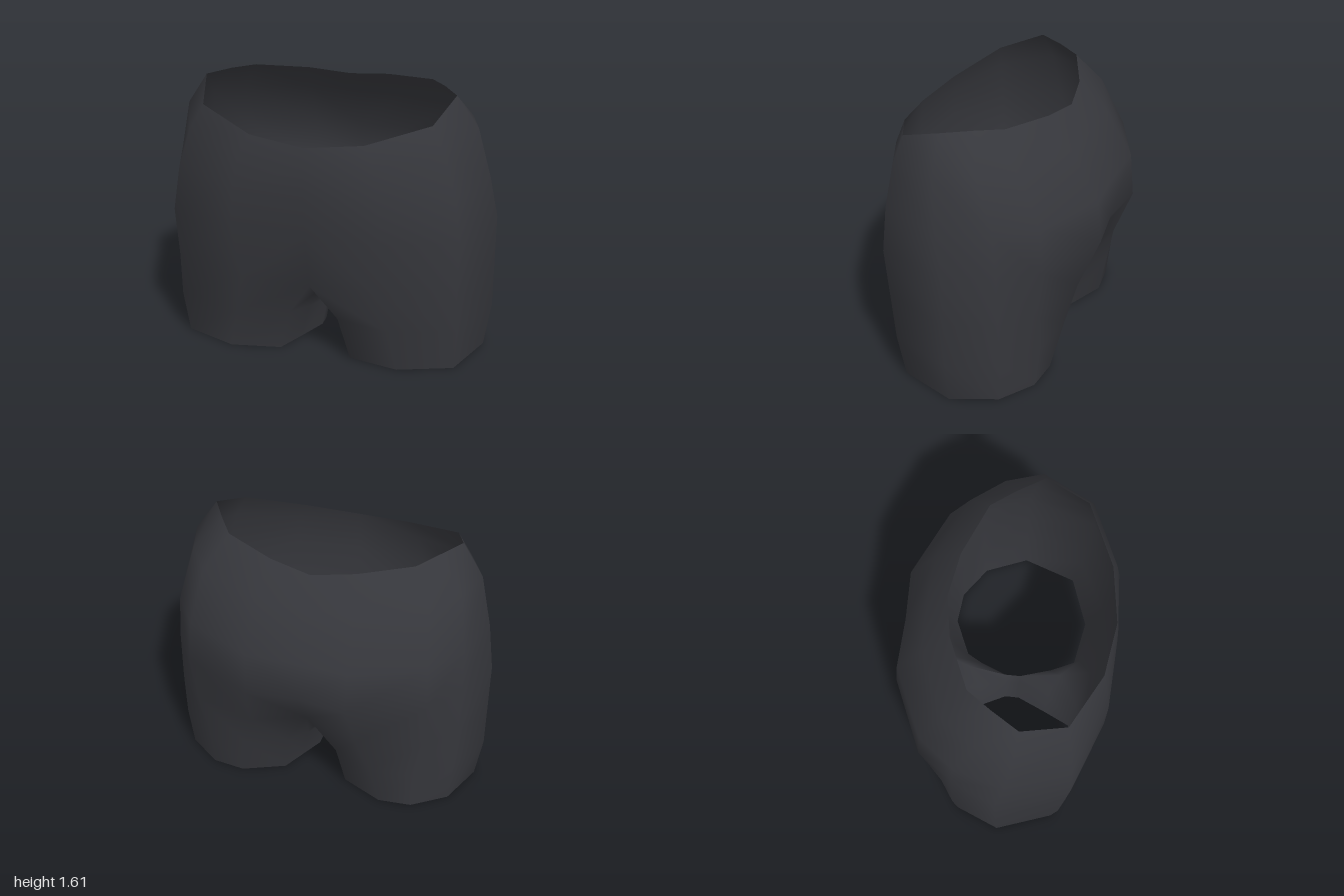
import * as THREE from 'three';
import { mergeVertices } from 'three/addons/utils/BufferGeometryUtils.js';

// Cross-section of the left half: xs and zs run from the front centre round the side to the back
// centre (legs carry on along the inside); y is one height or one per point.
const ring = (y, xs, zs) => xs.map((x, i) => [x, Array.isArray(y) ? y[i] : y, zs[i]]);

// Joins neighbouring rings, listed top to bottom, into outward-facing triangles.
function loft(rings, closed, out) {
  const n = rings[0].length;
  for (let r = 0; r < rings.length - 1; r++) {
    for (let c = 0; c < (closed ? n : n - 1); c++) {
      const d = (c + 1) % n;
      const a = rings[r][c], b = rings[r][d], e = rings[r + 1][c], f = rings[r + 1][d];
      out.push([a, e, f], [a, f, b]);
    }
  }
}

export function createModel() {
  const cloth = new THREE.MeshStandardMaterial({ color: 0x36373c, side: THREE.DoubleSide });
  cloth.name = 'charcoal cloth';

  // Where the hips divide into the legs; the last four points follow the crotch seam
  const split = ring(
    [0.5, 0.54, 0.55, 0.55, 0.55, 0.55, 0.55, 0.58, 0.38, 0.28, 0.28, 0.38],
    [0, 0.4, 0.85, 1, 0.88, 0.71, 0.33, 0, 0, 0, 0, 0],
    [0.53, 0.585, 0.44, 0.03, -0.25, -0.42, -0.52, -0.43, -0.25, -0.02, 0.08, 0.34]);

  // Waist opening, waist, hips and seat
  const torso = [
    ring([1.39, 1.42, 1.51, 1.61, 1.61, 1.6, 1.57, 1.54],
      [0, 0.33, 0.67, 0.75, 0.65, 0.55, 0.25, 0],
      [0.62, 0.57, 0.4, 0.14, -0.02, -0.16, -0.29, -0.335]),
    ring([1.28, 1.3, 1.36, 1.42, 1.42, 1.41, 1.4, 1.4],
      [0, 0.39, 0.75, 0.88, 0.81, 0.67, 0.29, 0],
      [0.635, 0.6, 0.43, 0.12, -0.1, -0.29, -0.45, -0.46]),
    ring(1.12, [0, 0.42, 0.82, 0.955, 0.87, 0.71, 0.3, 0],
      [0.645, 0.625, 0.45, 0.08, -0.22, -0.43, -0.615, -0.605]),
    ring(0.86, [0, 0.44, 0.86, 1, 0.88, 0.73, 0.3, 0],
      [0.615, 0.62, 0.46, 0.03, -0.24, -0.45, -0.64, -0.6]),
    split.slice(0, 8),
  ];

  // Thigh and hem
  const leg = [
    split,
    ring([0.27, 0.27, 0.27, 0.27, 0.27, 0.27, 0.3, 0.3, 0.23, 0.2, 0.2, 0.23],
      [0.15, 0.46, 0.86, 1, 0.87, 0.65, 0.4, 0.16, 0.08, 0.022, 0.022, 0.08],
      [0.46, 0.53, 0.41, 0.03, -0.26, -0.41, -0.465, -0.36, -0.18, -0.01, 0.08, 0.28]),
    ring(0, [0.22, 0.52, 0.84, 0.96, 0.85, 0.65, 0.45, 0.2, 0.13, 0.06, 0.06, 0.14],
      [0.43, 0.485, 0.37, 0.03, -0.24, -0.38, -0.4, -0.29, -0.15, -0.01, 0.08, 0.26]),
  ];

  const faces = [];
  loft(torso, false, faces);
  loft(leg, true, faces);

  // Mirror to the other side and weld the centre seam for smooth shading
  const mirrored = faces.map(([a, b, c]) => [a, c, b].map(([x, y, z]) => [x === 0 ? 0 : -x, y, z]));
  const raw = new THREE.BufferGeometry();
  raw.setAttribute('position', new THREE.Float32BufferAttribute([...faces, ...mirrored].flat(2), 3));
  const geometry = mergeVertices(raw, 1e-4);
  geometry.computeVertexNormals();

  const shorts = new THREE.Mesh(geometry, cloth);
  shorts.name = 'shorts';
  const group = new THREE.Group();
  group.name = 'shortTrousers';
  group.add(shorts);
  return group;
}
